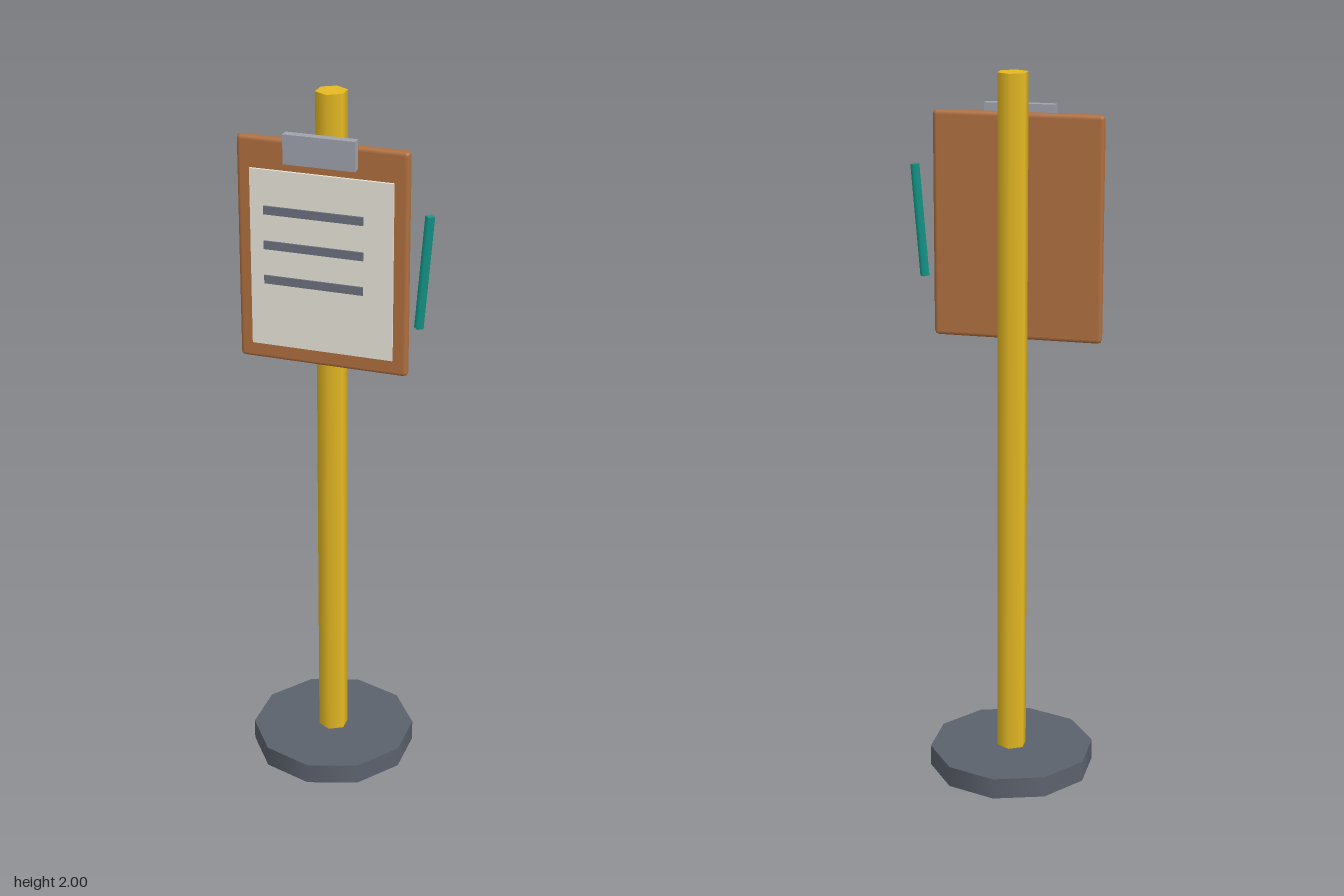
import * as THREE from 'three';
import { RoundedBoxGeometry } from 'three/addons/geometries/RoundedBoxGeometry.js';

const CX = -0.037; // axis of the post

export function createModel() {
  const model = new THREE.Group();
  const add = (name, geometry, color, x, y, z, parent = model) => {
    const mesh = new THREE.Mesh(geometry, new THREE.MeshStandardMaterial({ color }));
    mesh.name = name;
    mesh.position.set(x, y, z);
    parent.add(mesh);
    return mesh;
  };

  // Ten-sided foot and six-sided post
  add('base', new THREE.CylinderGeometry(0.235, 0.235, 0.06, 10), 0x5c626d, CX, 0.03, 0);
  add('post', new THREE.CylinderGeometry(0.043, 0.043, 1.95, 6), 0xe5b923, CX, 1.025, 0);

  // Clipboard with paper, written lines and clip
  const clipboard = new THREE.Group();
  clipboard.name = 'clipboard';
  model.add(clipboard);
  add('board', new RoundedBoxGeometry(0.471, 0.625, 0.029, 1, 0.012), 0xb07040, CX, 1.572, 0.0675, clipboard);
  add('paper', new THREE.BoxGeometry(0.393, 0.493, 0.008), 0xebe7dd, CX, 1.553, 0.085, clipboard);
  for (const y of [1.69, 1.593, 1.496]) {
    add('writtenLine', new THREE.BoxGeometry(0.274, 0.023, 0.006), 0x6b7280, -0.058, y, 0.091, clipboard);
  }
  add('clip', new THREE.BoxGeometry(0.196, 0.08, 0.024), 0xa0a4af, CX, 1.865, 0.092, clipboard);

  // Leaning four-sided pen beside the board
  const pen = add('pen', new THREE.CylinderGeometry(0.013, 0.013, 0.313, 4), 0x149a8c, 0.247, 1.572, 0.097);
  pen.rotation.z = -0.08;

  return model;
}
